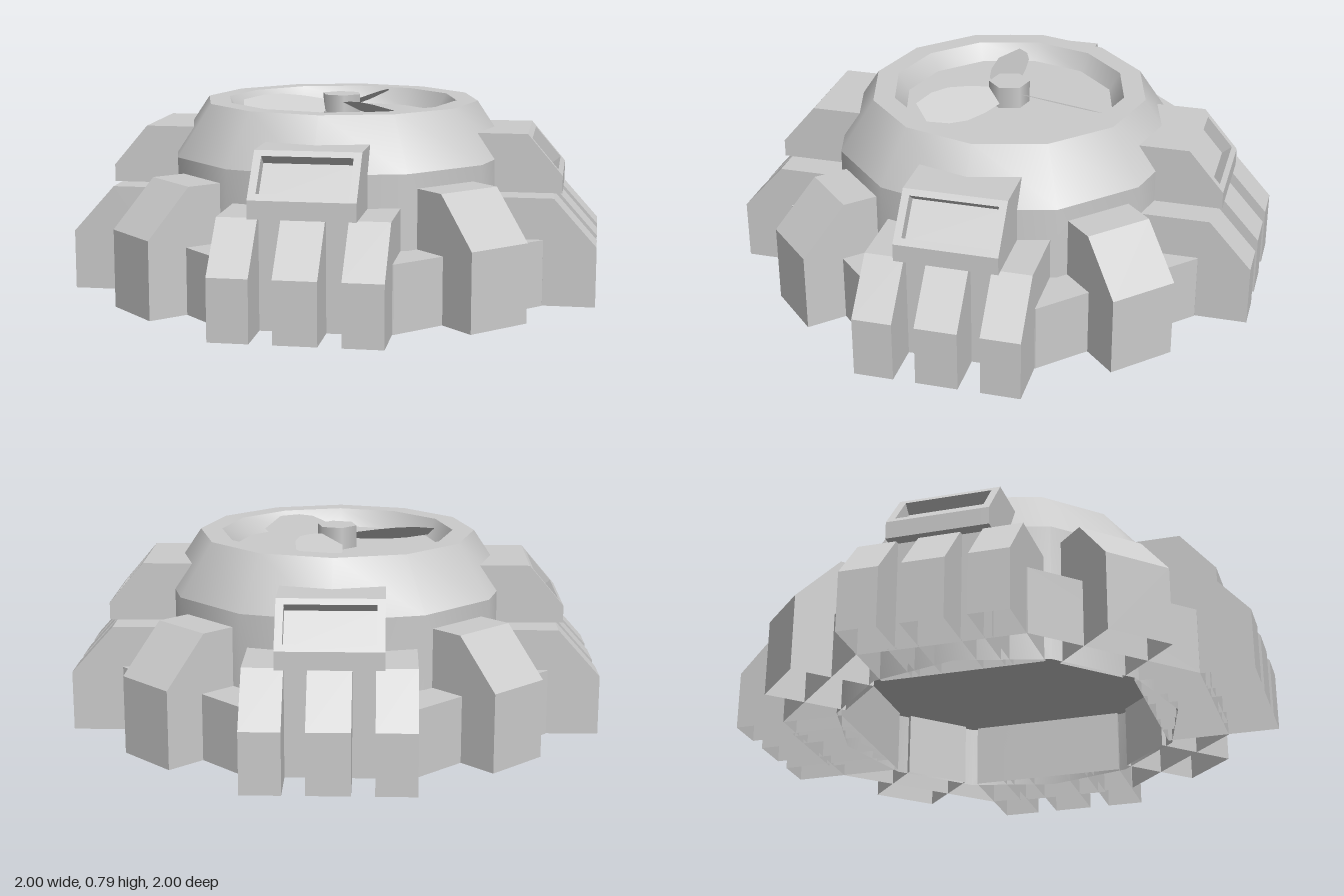
import * as THREE from 'three';
import { toCreasedNormals } from 'three/addons/utils/BufferGeometryUtils.js';

const material = new THREE.MeshStandardMaterial({ color: 0xcccccc, side: THREE.DoubleSide });

function add(parent, name, geometry) {
  const mesh = new THREE.Mesh(geometry, material);
  mesh.name = name;
  parent.add(mesh);
  return mesh;
}

const shapeOf = (pts) => new THREE.Shape(pts.map(([x, y]) => new THREE.Vector2(x, y)));

// Removes the faces lying on the ground, leaving the part open underneath
function openBottom(geometry) {
  const p = geometry.attributes.position;
  const kept = [];
  for (let i = 0; i < p.count; i += 3) {
    if (Math.max(p.getY(i), p.getY(i + 1), p.getY(i + 2)) < 0.001) continue;
    for (let j = i; j < i + 3; j++) kept.push(p.getX(j), p.getY(j), p.getZ(j));
  }
  const open = new THREE.BufferGeometry();
  open.setAttribute('position', new THREE.Float32BufferAttribute(kept, 3));
  open.computeVertexNormals();
  return open;
}

// Side profile in (outward, up) swept across a width; outward is +z
function prism(profile, width, offset = 0) {
  const g = new THREE.ExtrudeGeometry(shapeOf(profile), { depth: width, bevelEnabled: false });
  g.translate(0, 0, -width / 2);
  g.rotateY(-Math.PI / 2);
  g.translate(offset, 0, 0);
  return openBottom(g);
}

function createDome() {
  // Twelve sides; profile radii are measured to the middle of a side
  const profile = [
    [0.68, 0], [0.68, 0.56], [0.545, 0.77], [0.46, 0.77], [0.417, 0.7], [0, 0.7],
  ].map(([r, y]) => new THREE.Vector2(r / Math.cos(Math.PI / 12), y));
  return toCreasedNormals(new THREE.LatheGeometry(profile, 12, Math.PI / 12), 0.55);
}

function createSkirt() {
  const a = 0.37, b = 0.835;
  const g = new THREE.ExtrudeGeometry(
    shapeOf([[a, b], [-a, b], [-b, a], [-b, -a], [-a, -b], [a, -b], [b, -a], [b, a]]),
    { depth: 0.265, bevelEnabled: false });
  g.rotateX(-Math.PI / 2);
  return openBottom(g);
}

function createFan() {
  const fan = new THREE.Group();
  fan.name = 'fan';
  add(fan, 'fanHub', new THREE.CylinderGeometry(0.083, 0.083, 0.09, 6).rotateY(Math.PI / 6).toNonIndexed())
    .position.y = 0.745;
  const half = [[0.045, 0.06], [0.075, 0.15], [0.092, 0.24], [0.085, 0.32], [0.05, 0.405]];
  const outline = [...half, ...half.map(([x, y]) => [-x, y]).reverse()];
  for (let i = 0; i < 3; i++) {
    const blade = new THREE.ShapeGeometry(shapeOf(outline));
    blade.rotateX(Math.PI / 2).rotateZ(-0.45).rotateY((i * Math.PI * 2) / 3);
    add(fan, 'fanBlade', blade).position.y = 0.742;
  }
  return fan;
}

// Corner buttress: three sloped feet carrying a recessed vent
function createCorner() {
  const corner = new THREE.Group();
  corner.name = 'cornerButtress';
  const foot = [[0.6, 0], [1.06, 0], [1.06, 0.24], [0.89, 0.43], [0.6, 0.43]];
  for (const [x, w] of [[-0.247, 0.155], [0, 0.165], [0.247, 0.155]]) {
    add(corner, 'buttressFoot', prism(foot, w, x));
  }
  add(corner, 'buttressCore', prism([[0.6, 0], [0.87, 0], [0.87, 0.43], [0.6, 0.43]], 0.4));

  // Vent housing: full-height cheeks either side of a notched middle
  const low = new THREE.Vector2(0.92, 0.5), high = new THREE.Vector2(0.78, 0.665);
  const slope = high.clone().sub(low);
  const inward = new THREE.Vector2(-slope.y, slope.x).normalize().multiplyScalar(0.05);
  const p1 = low.clone().addScaledVector(slope, 0.13);
  const p2 = low.clone().addScaledVector(slope, 0.88);
  const start = [[0.575, 0.43], [0.92, 0.43], low.toArray()];
  const end = [high.toArray(), [0.575, 0.665]];
  const notch = [p1, p1.clone().add(inward), p2.clone().add(inward), p2].map((p) => p.toArray());
  add(corner, 'ventRecess', prism([...start, ...notch, ...end], 0.345));
  for (const s of [-1, 1]) {
    add(corner, 'ventCheek', prism([...start, ...end], 0.03, s * 0.1875));
  }
  return corner;
}

export function createModel() {
  const model = new THREE.Group();
  model.name = 'domedBase';
  add(model, 'dome', createDome());
  add(model, 'skirt', createSkirt());
  model.add(createFan());

  const pier = [[0.66, 0], [1, 0], [1, 0.31], [0.82, 0.5], [0.66, 0.5]];
  for (let i = 0; i < 4; i++) {
    const turn = (i * Math.PI) / 2;
    add(model, 'sidePier', prism(pier, 0.275)).rotation.y = turn;
    const corner = createCorner();
    corner.rotation.y = turn + Math.PI / 4;
    model.add(corner);
  }
  return model;
}
